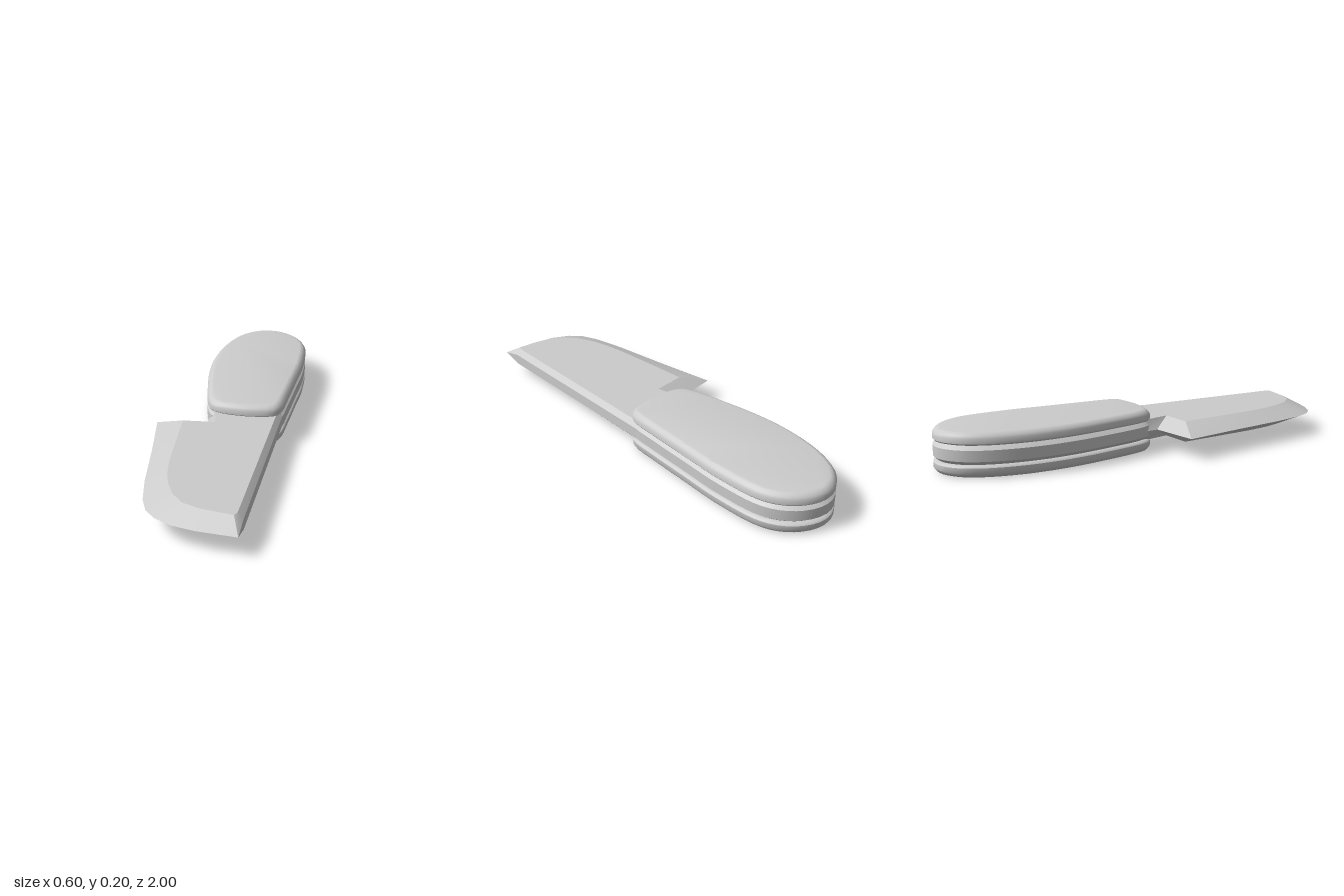
import * as THREE from 'three';
import { toCreasedNormals } from 'three/addons/utils/BufferGeometryUtils.js';

const MID = 0.1; // height of the centre plane

// Skin a stack of rings (lowest first, clockwise from above) and cap both ends
function loft(rings, crease) {
  const pos = [];
  const tri = (a, b, c) => {
    const ab = b.clone().sub(a), ac = c.clone().sub(a);
    if (ab.cross(ac).length() > 1e-9) for (const p of [a, b, c]) pos.push(p.x, p.y, p.z);
  };
  const n = rings[0].length;
  for (let r = 0; r < rings.length - 1; r++) {
    for (let i = 0; i < n; i++) {
      const j = (i + 1) % n, lo = rings[r], up = rings[r + 1];
      tri(lo[i], up[i], lo[j]);
      tri(lo[j], up[i], up[j]);
    }
  }
  const cap = (ring, facing) => {
    const flat = ring.map((p) => new THREE.Vector2(p.x, p.z));
    for (const [a, b, c] of THREE.ShapeUtils.triangulateShape(flat, [])) {
      const A = ring[a], B = ring[b], C = ring[c];
      const ny = B.clone().sub(A).cross(C.clone().sub(A)).y;
      if (ny * facing > 0) tri(A, B, C); else tri(A, C, B);
    }
  };
  cap(rings[0], -1);
  cap(rings[rings.length - 1], 1);
  const g = new THREE.BufferGeometry();
  g.setAttribute('position', new THREE.Float32BufferAttribute(pos, 3));
  return toCreasedNormals(g, crease);
}

// Handle outline in x, z, clockwise from the butt
const handleCurve = new THREE.CatmullRomCurve3([
  [0.06, -1], [0.13, -0.985], [0.21, -0.93], [0.27, -0.83], [0.295, -0.6], [0.289, -0.38],
  [0.282, -0.18], [0.272, -0.03], [0.25, 0.01], [0.19, 0.03], [0.1, 0.04], [0, 0.03],
  [-0.05, 0.01], [-0.08, -0.04], [-0.13, -0.25], [-0.155, -0.4], [-0.165, -0.55],
  [-0.155, -0.7], [-0.12, -0.84], [-0.07, -0.93], [0, -0.985],
].map(([x, z]) => new THREE.Vector3(x, 0, z)), true);
const outline = handleCurve.getSpacedPoints(72).slice(0, 72);

// Outline moved inward by d at height y
function handleRing(d, y) {
  const n = outline.length;
  return outline.map((p, i) => {
    const t = outline[(i + 1) % n].clone().sub(outline[(i + n - 1) % n]).normalize();
    return new THREE.Vector3(p.x - t.z * d, y, p.z + t.x * d);
  });
}

const slab = (profile) => loft(profile.map(([d, y]) => handleRing(d, y)), 0.6);

export function createModel() {
  const group = new THREE.Group();
  const grey = new THREE.MeshStandardMaterial({ color: 0xcccccc });
  const add = (name, geometry) => {
    const mesh = new THREE.Mesh(geometry, grey);
    mesh.name = name;
    group.add(mesh);
  };

  // Two grip plates with rounded outer rims
  const grip = [[0.018, 0.143], [0.005, 0.147], [0, 0.153], [0, 0.176], [0.007, 0.187], [0.017, 0.196], [0.028, 0.2]];
  add('upperGrip', slab(grip));
  add('lowerGrip', slab(grip.map(([d, y]) => [d, 2 * MID - y]).reverse()));

  // Chamfered core between the grips
  add('handleCore', slab([[0.025, 0.055], [0.018, 0.06], [0, 0.075], [0, 0.125], [0.018, 0.14], [0.025, 0.145]]));

  // Blade: edge x, z, half height of the edge, then flat face x, z
  const blade = [
    [0.275, -0.1, 0.025, 0.253, -0.1], [0.275, 0.9, 0.025, 0.25, 0.9],
    [0.273, 1, 0, 0.24, 0.92], [0.1, 0.99, 0, 0.1, 0.9], [0, 0.97, 0, 0.02, 0.87],
    [-0.08, 0.93, 0, -0.035, 0.81], [-0.13, 0.88, 0, -0.075, 0.73], [-0.165, 0.8, 0, -0.1, 0.65],
    [-0.2, 0.65, 0, -0.12, 0.54], [-0.25, 0.35, 0, -0.14, 0.35], [-0.3, 0.085, 0, -0.16, 0.14],
    [-0.06, 0.045, 0, -0.01, 0.125], [-0.08, -0.1, 0, -0.06, -0.1],
  ];
  const edge = (s) => blade.map(([x, z, h]) => new THREE.Vector3(x, MID + s * h, z));
  const face = (s) => blade.map(([, , , x, z]) => new THREE.Vector3(x, MID + s * 0.049, z));
  add('blade', loft([face(-1), edge(-1), edge(1), face(1)], 0.3));

  return group;
}
